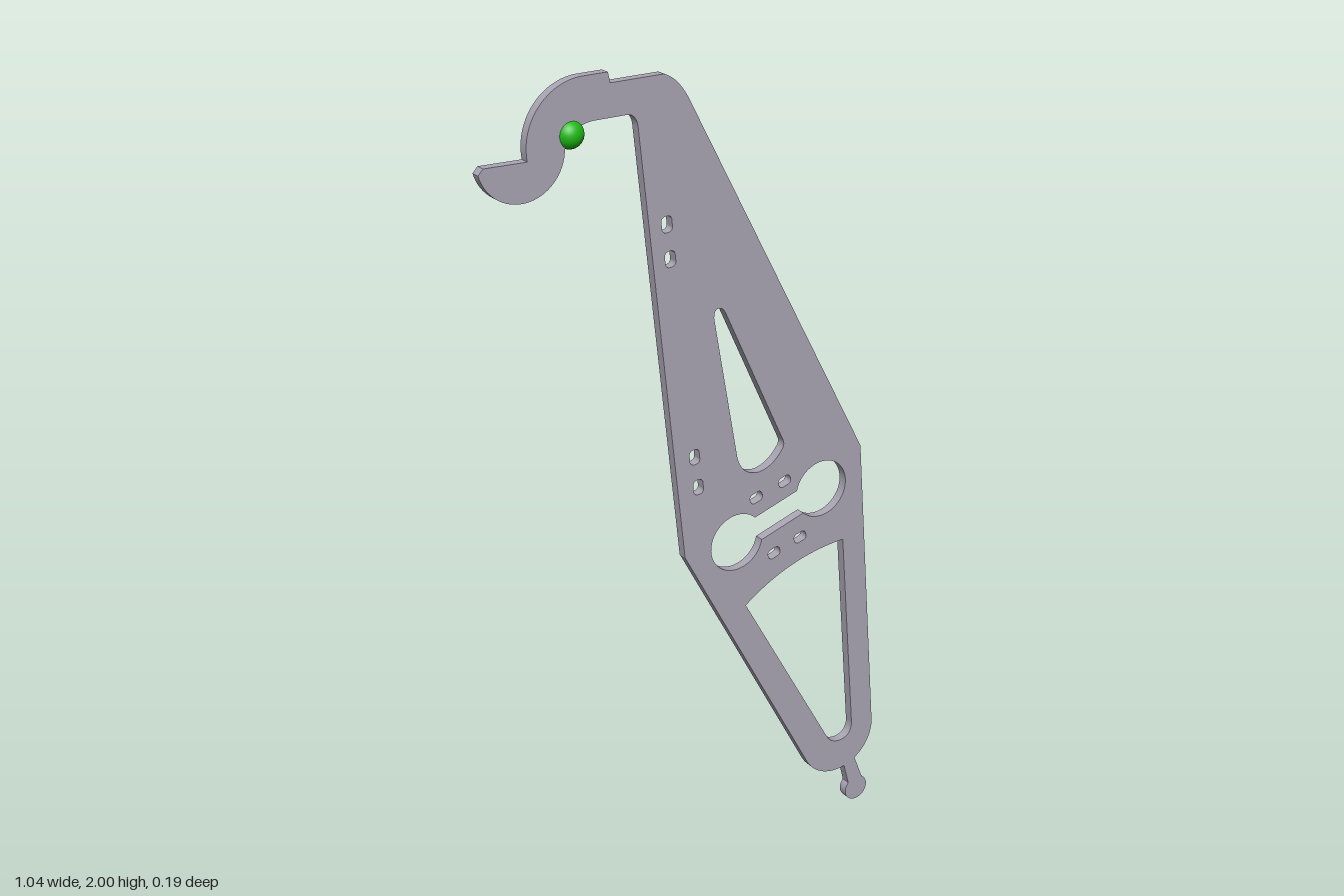
import * as THREE from 'three';

const TURN = 0.156;        // the plate stands slightly turned about y
const THICK = 0.023;
const PI = Math.PI;

// Rounded slot hole centred on (x, y)
function slot(x, y, w, h, angle) {
  const r = Math.min(w, h) * 0.4, a = w / 2 - r, b = h / 2 - r;
  const c = Math.cos(angle), s = Math.sin(angle);
  const path = new THREE.Path();
  [[a, b, 0], [-a, b, PI / 2], [-a, -b, PI], [a, -b, 1.5 * PI]].forEach(([u, v, start]) =>
    path.absarc(x + u * c - v * s, y + u * s + v * c, r, start + angle, start + angle + PI / 2));
  path.closePath();
  return path;
}

// Two round holes joined by a narrower bar
function dumbbell(x1, y1, x2, y2, r, half) {
  const dir = Math.atan2(y2 - y1, x2 - x1), gap = Math.asin(half / r);
  const path = new THREE.Path();
  path.absarc(x1, y1, r, dir + gap, dir + 2 * PI - gap);
  path.absarc(x2, y2, r, dir - PI + gap, dir + PI - gap);
  path.closePath();
  return path;
}

function plateShape() {
  const s = new THREE.Shape();
  // right edge, shoulder and top step
  s.moveTo(0.45, 1.007);
  s.lineTo(-0.028, 1.915);
  s.quadraticCurveTo(-0.055, 1.965, -0.09, 1.977);
  s.lineTo(-0.217, 1.977);
  s.lineTo(-0.222, 2.0);
  // hook and cup
  s.absarc(-0.28, 1.867, 0.133, PI / 2, PI + 0.17);
  s.lineTo(-0.51, 1.847);
  s.absarc(-0.425, 1.86, 0.1, PI + 0.26, 2 * PI);
  s.quadraticCurveTo(-0.31, 1.9, -0.26, 1.905);
  s.lineTo(-0.175, 1.905);
  s.quadraticCurveTo(-0.156, 1.9, -0.153, 1.877);
  // left edge and rounded foot
  s.lineTo(-0.042, 0.848);
  s.absarc(0.412, 0.217, 0.106, PI + 0.507, 2 * PI - 1.35);
  // neck and ball tip
  s.absarc(0.475, 0.033, 0.033, 2.4, 2 * PI + 1.0);
  s.absarc(0.412, 0.217, 0.106, -1.02, 0.07);
  s.closePath();

  // upper window
  const upper = new THREE.Path();
  upper.moveTo(0.035, 1.415);
  upper.lineTo(0.099, 1.065);
  upper.quadraticCurveTo(0.112, 1.015, 0.158, 1.013);
  upper.quadraticCurveTo(0.195, 1.015, 0.222, 1.053);
  upper.quadraticCurveTo(0.232, 1.065, 0.224, 1.08);
  upper.lineTo(0.064, 1.425);
  upper.quadraticCurveTo(0.055, 1.44, 0.043, 1.437);
  upper.quadraticCurveTo(0.034, 1.433, 0.035, 1.415);

  // lower window
  const lower = new THREE.Path();
  lower.moveTo(0.127, 0.673);
  lower.lineTo(0.378, 0.22);
  lower.quadraticCurveTo(0.392, 0.196, 0.42, 0.196);
  lower.quadraticCurveTo(0.454, 0.2, 0.454, 0.235);
  lower.lineTo(0.407, 0.769);
  lower.quadraticCurveTo(0.25, 0.765, 0.127, 0.673);

  s.holes.push(upper, lower, dumbbell(0.1, 0.848, 0.338, 0.923, 0.071, 0.033));
  // small slots along the left edge
  [[-0.085, 1.654], [-0.077, 1.575], [-0.016, 1.095], [-0.006, 1.018]].forEach(([x, y]) =>
    s.holes.push(slot(x, y, 0.026, 0.037, 0.1)));
  // small slots around the dumbbell
  [[0.153, 0.949], [0.232, 0.97], [0.206, 0.79], [0.28, 0.811]].forEach(([x, y]) =>
    s.holes.push(slot(x, y, 0.034, 0.025, 0.3)));
  return s;
}

export function createModel() {
  const model = new THREE.Group();
  const body = new THREE.Group();
  body.name = 'turnedBody';
  body.rotation.y = TURN;
  model.add(body);

  const geometry = new THREE.ExtrudeGeometry(plateShape(), {
    depth: THICK, bevelEnabled: false, curveSegments: 20,
  });
  geometry.translate(0, 0, -THICK / 2);
  geometry.scale(1 / Math.cos(TURN), 1, 1);
  const plate = new THREE.Mesh(geometry, new THREE.MeshStandardMaterial({ color: 0xaaa6b4 }));
  plate.name = 'hookedPlate';
  body.add(plate);

  // green bead under the hook
  const bead = new THREE.Mesh(
    new THREE.SphereGeometry(0.031, 32, 20),
    new THREE.MeshStandardMaterial({ color: 0x1fb814 }));
  bead.name = 'bead';
  bead.position.set(-0.308 / Math.cos(TURN), 1.883, 0);
  body.add(bead);
  return model;
}
